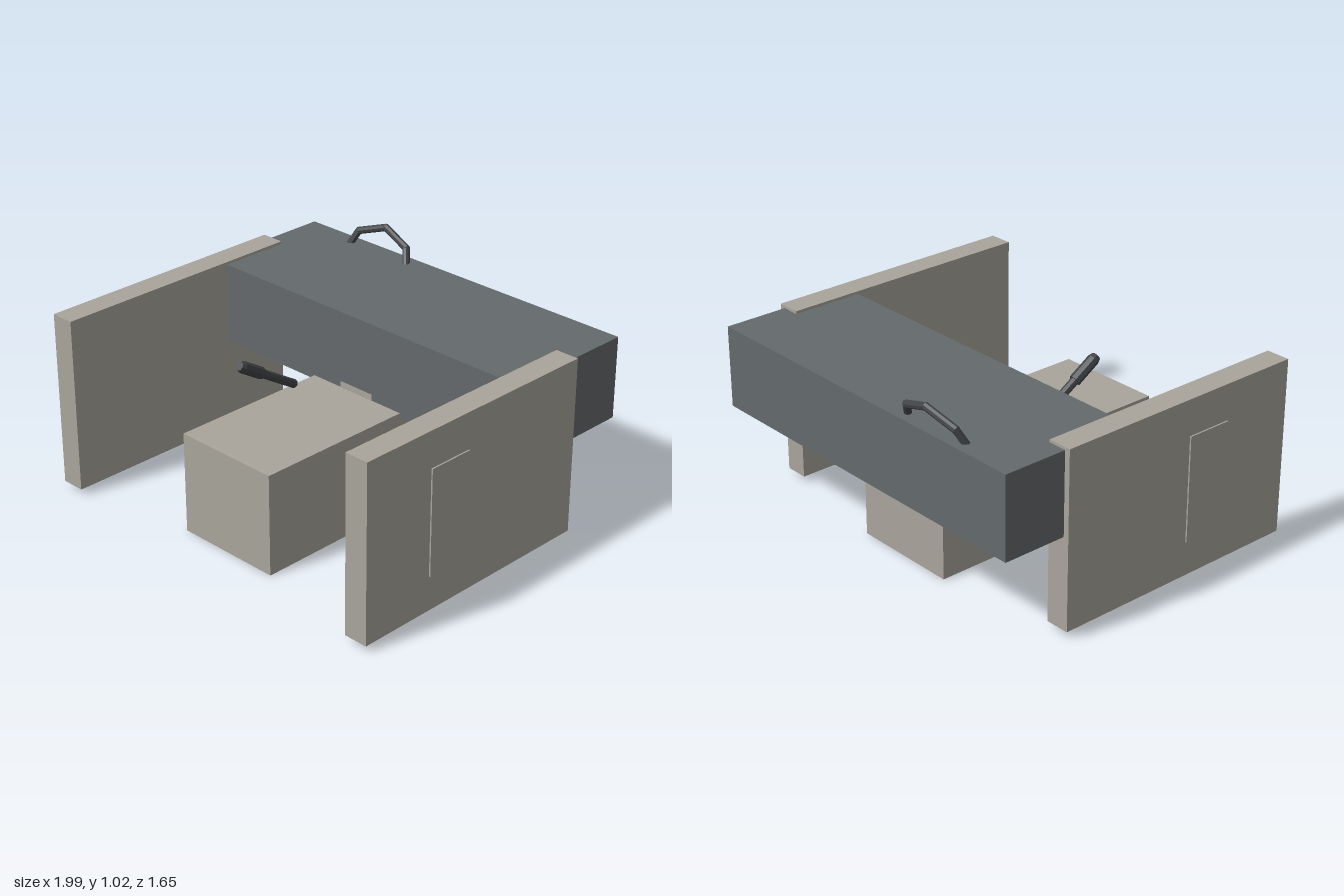
import * as THREE from 'three';

export function createModel() {
  const model = new THREE.Group();
  model.name = 'console';

  const material = (name, color) => {
    const m = new THREE.MeshStandardMaterial({ color });
    m.name = name;
    return m;
  };
  const beige = material('warm grey', 0xa9a59c);
  const slate = material('slate grey', 0x64696c);
  const dark = material('dark grey', 0x424548);

  const add = (name, geometry, mat, parent = model) => {
    const mesh = new THREE.Mesh(geometry, mat);
    mesh.name = name;
    parent.add(mesh);
    return mesh;
  };
  // Box given by its extents on each axis
  const box = (name, mat, [x0, x1], [y0, y1], [z0, z1]) => {
    const mesh = add(name, new THREE.BoxGeometry(x1 - x0, y1 - y0, z1 - z0), mat);
    mesh.position.set((x0 + x1) / 2, (y0 + y1) / 2, (z0 + z1) / 2);
    return mesh;
  };

  // Main body, central pedestal and small fittings
  box('mainBody', slate, [-0.96, 0.96], [0.48, 0.883], [-0.81, -0.13]);
  box('pedestal', beige, [-0.275, 0.275], [0, 0.5], [-0.57, 0.69]);
  box('frontLip', beige, [-0.1, 0.1], [0.49, 0.53], [-0.2, -0.127]);
  box('underTray', beige, [0.24, 0.81], [0.438, 0.485], [-0.62, -0.36]);

  // Side panels with a thin raised plate on the outside
  for (const [side, s] of [['left', 1], ['right', -1]]) {
    const span = (a, b) => (s > 0 ? [a, b] : [-b, -a]);
    box(side + 'Panel', beige, span(0.868, 0.988), [0.03, 0.897], [-0.49, 0.825]);
    box(side + 'PanelPlate', beige, span(0.986, 0.9955), [0.2, 0.72], [0.215, 0.445]);
  }

  // Segmented grab handle leaning backwards
  const path = new THREE.CurvePath();
  const points = [
    [-0.655, 0.86], [-0.618, 0.943], [-0.46, 0.997], [-0.302, 0.943], [-0.265, 0.86],
  ].map(([x, y]) => new THREE.Vector3(x, y, -0.74 - (y - 0.86) * 0.47));
  for (let i = 0; i < points.length - 1; i++) {
    const a = points[i], b = points[i + 1];
    const bar = add('grabHandle' + (i + 1),
      new THREE.CylinderGeometry(0.018, 0.018, a.distanceTo(b) + 0.012, 8).toNonIndexed(), dark);
    bar.geometry.computeVertexNormals();
    bar.position.copy(a).lerp(b, 0.5);
    bar.quaternion.setFromUnitVectors(new THREE.Vector3(0, 1, 0), b.clone().sub(a).normalize());
  }

  // Tilted lever: slim shaft, thicker grip and tapered tip
  const lever = new THREE.Group();
  lever.name = 'lever';
  lever.position.set(-0.2, 0.555, 0.075);
  lever.rotation.x = Math.atan2(0.34, 0.21);
  model.add(lever);
  const segment = (name, bottom, top, start, end) => {
    const geometry = new THREE.CylinderGeometry(top, bottom, end - start, 8).toNonIndexed();
    geometry.computeVertexNormals();
    add(name, geometry, dark, lever).position.y = (start + end) / 2;
  };
  segment('leverShaft', 0.021, 0.021, 0, 0.25);
  segment('leverGrip', 0.029, 0.029, 0.24, 0.375);
  segment('leverTip', 0.029, 0.022, 0.375, 0.398);

  return model;
}
